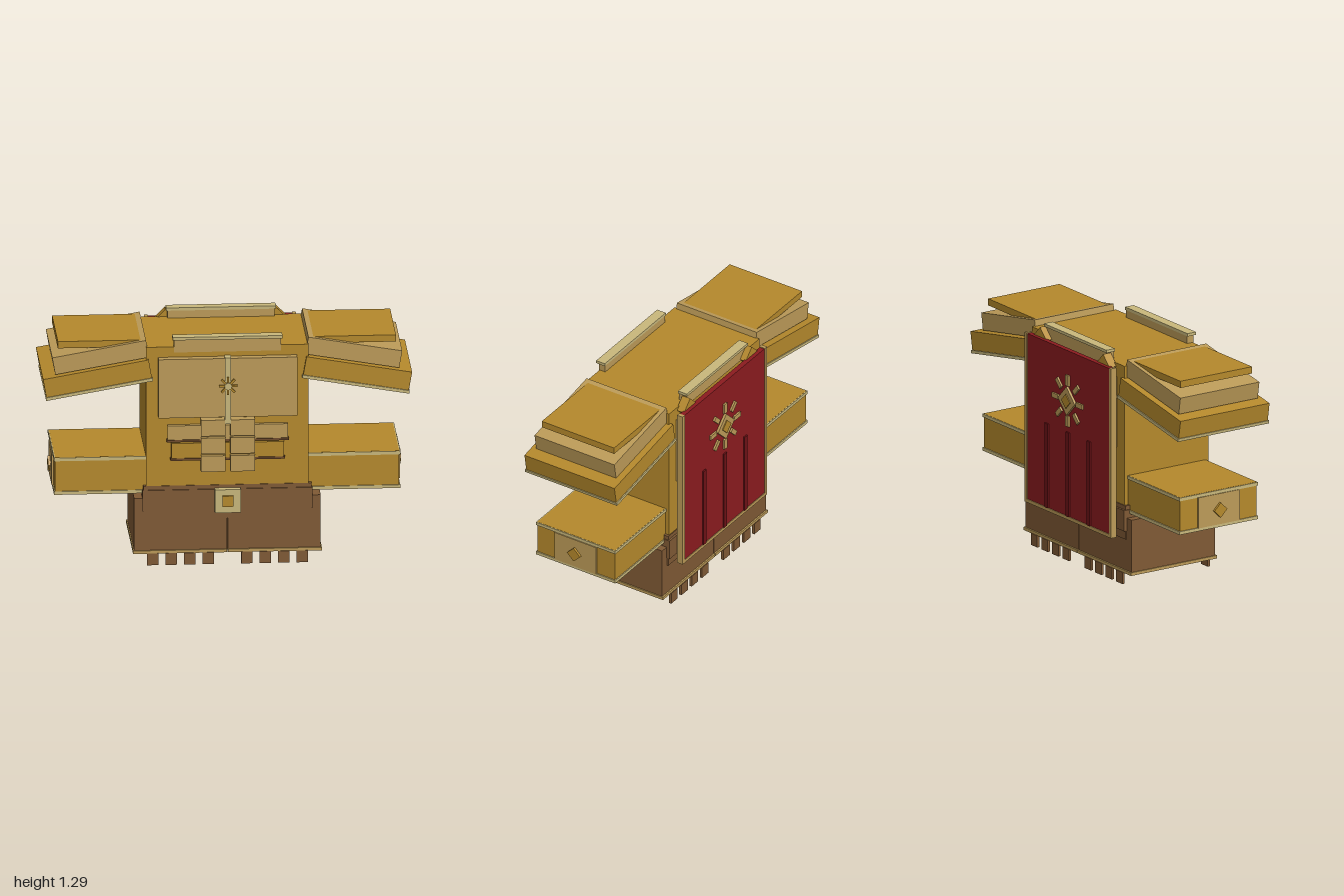
import * as THREE from 'three';

const mat = (name, color) => {
  const m = new THREE.MeshStandardMaterial({ color });
  m.name = name;
  return m;
};

export function createModel() {
  const gold = mat('gold', 0xb5892c), tan = mat('tan', 0xbc9b58), trim = mat('pale trim', 0xc9b87c);
  const brown = mat('leather brown', 0x805a35), dark = mat('dark brown', 0x6f4a2a);
  const red = mat('cape red', 0x8c1b1f), darkRed = mat('dark red', 0x6e1216);
  const root = new THREE.Group();

  // Box given by its extents along each axis
  const box = (name, m, [x0, x1], [y0, y1], [z0, z1], parent = root) => {
    const mesh = new THREE.Mesh(new THREE.BoxGeometry(x1 - x0, y1 - y0, z1 - z0), m);
    mesh.position.set((x0 + x1) / 2, (y0 + y1) / 2, (z0 + z1) / 2);
    mesh.name = name;
    parent.add(mesh);
    return mesh;
  };
  const side = (s, a, b) => (s > 0 ? [a, b] : [-b, -a]);

  // Eight-rayed emblem facing along z
  const burst = (name, m, y, z, depth, inner, outer, width) => {
    const g = new THREE.Group();
    g.name = name;
    g.position.set(0, y, z);
    for (let i = 0; i < 8; i++) {
      const arm = new THREE.Group();
      arm.rotation.z = i * Math.PI / 4;
      box('ray', m, [-width / 2, width / 2], [inner, outer], [-depth / 2, depth / 2], arm);
      g.add(arm);
    }
    root.add(g);
    return g;
  };

  // Torso, chest plate and centre rib
  box('torso', gold, [-0.44, 0.44], [0.43, 1.23], [-0.267, 0.283]);
  box('chestPlate', tan, [-0.375, 0.375], [0.84, 1.172], [0.27, 0.326]);
  box('chestRib', trim, [-0.017, 0.017], [0.805, 1.178], [0.28, 0.336]);
  burst('chestStar', gold, 1.02, 0.339, 0.012, 0.015, 0.05, 0.011);
  const hub = new THREE.Mesh(new THREE.CylinderGeometry(0.02, 0.02, 0.02, 8), trim);
  hub.name = 'chestStarHub';
  hub.rotation.x = Math.PI / 2;
  hub.position.set(0, 1.02, 0.341);
  root.add(hub);

  // Abdomen bands and blocks
  box('upperBand', tan, [-0.325, 0.325], [0.71, 0.79], [0.27, 0.308]);
  box('upperBandEdge', dark, [-0.33, 0.33], [0.699, 0.711], [0.27, 0.314]);
  box('lowerBand', gold, [-0.305, 0.305], [0.605, 0.69], [0.27, 0.308]);
  box('lowerBandEdge', dark, [-0.31, 0.31], [0.594, 0.606], [0.27, 0.314]);
  for (const s of [1, -1])
    for (const y of [0.534, 0.635, 0.736])
      box('abdomenBlock', tan, side(s, 0.013, 0.146), [y, y + 0.09], [0.27, 0.334]);

  // Front and back collar
  for (const s of [1, -1]) {
    const z = (a, b) => (s > 0 ? [a, b] : [-b + 0.014, -a + 0.014]);
    box('collar', tan, [-0.29, 0.29], [1.2, 1.275], z(0.247, 0.289));
    box('collarLip', trim, [-0.297, 0.297], [1.272, 1.288], z(0.245, 0.301));
  }

  // Waist, belt and buckle
  box('waist', brown, [-0.455, 0.455], [0.256, 0.445], [-0.272, 0.286]);
  box('belt', brown, [-0.46, 0.46], [0.305, 0.422], [-0.284, 0.292]);
  box('buckle', trim, [-0.07, 0.07], [0.297, 0.428], [0.285, 0.324]);
  box('buckleCentre', gold, [-0.03, 0.03], [0.335, 0.395], [0.3, 0.337]);

  for (const s of [1, -1]) {
    // Skirt half with edge trim and tassels
    box('skirt', brown, side(s, 0.002, 0.505), [0.062, 0.376], [-0.265, 0.283]);
    const y = [0.064, 0.081];
    box('skirtTrimFront', tan, side(s, 0.002, 0.511), y, [0.27, 0.292]);
    box('skirtTrimBack', tan, side(s, 0.002, 0.511), y, [-0.274, -0.255]);
    box('skirtTrimSide', tan, side(s, 0.495, 0.511), y, [-0.274, 0.292]);
    for (let i = 0; i < 4; i++) {
      const x = side(s, 0.074 + i * 0.1, 0.135 + i * 0.1);
      box('frontTassel', brown, x, [0, 0.066], [0.281, 0.296]);
      box('backTassel', brown, x, [0, 0.066], [-0.278, -0.263]);
    }

    // Forearm with trims, end plate and stud
    box('arm', gold, side(s, 0.42, 0.931), [0.399, 0.609], [-0.243, 0.26]);
    for (const y of [0.4, 0.59])
      box('armTrim', trim, side(s, 0.42, 0.937), [y, y + 0.018], [-0.249, 0.266]);
    box('armEndPlate', tan, side(s, 0.92, 0.942), [0.417, 0.59], [-0.127, 0.143]);
    const stud = box('armStud', gold, side(s, 0.93, 0.955), [0.47, 0.53], [-0.02, 0.04]);
    stud.rotation.x = Math.PI / 4;

    // Layered shoulder guard
    const slab = (name, m, x, y, w, h, z) => {
      const b = box(name, m, [-w / 2, w / 2], [-h / 2, h / 2], z);
      b.position.x = s * x;
      b.position.y = y;
      b.rotation.z = -s * 0.172;
      return b;
    };
    slab('shoulderLower', gold, 0.704, 1.063, 0.58, 0.104, [-0.285, 0.299]);
    slab('shoulderTrim', trim, 0.694, 1.004, 0.588, 0.017, [-0.291, 0.306]);
    slab('shoulderMiddle', tan, 0.685, 1.173, 0.515, 0.097, [-0.25, 0.268]);
    box('shoulderTop', gold, side(s, 0.44, 0.915), [1.222, 1.26], [-0.227, 0.242]);

    // Cape clasp
    const clasp = box('capeClasp', gold, side(s, 0.257, 0.343), [1.167, 1.253], [-0.311, -0.26]);
    clasp.rotation.z = Math.PI / 4;

    // Cape side border
    box('capeBorder', tan, side(s, 0.39, 0.411), [0.262, 1.22], [-0.336, -0.3]);
  }

  // Cape with folds
  box('backPlate', tan, [-0.37, 0.37], [0.758, 1.155], [-0.302, -0.25]);
  box('cape', red, [-0.392, 0.392], [0.275, 1.216], [-0.332, -0.302]);
  box('capeHem', tan, [-0.411, 0.411], [0.262, 0.281], [-0.336, -0.3]);
  for (const x of [-0.2, 0, 0.2])
    box('capeFold', darkRed, [x - 0.014, x + 0.014], [0.281, 0.757], [-0.341, -0.325]);

  // Back emblem
  burst('capeEmblem', tan, 0.935, -0.336, 0.014, 0.085, 0.145, 0.027);
  const plate = box('emblemCentre', tan, [-0.057, 0.057], [0.878, 0.992], [-0.346, -0.328]);
  const jewel = box('emblemJewel', gold, [-0.029, 0.029], [0.906, 0.964], [-0.351, -0.34]);
  plate.rotation.z = jewel.rotation.z = Math.PI / 4;

  return root;
}
